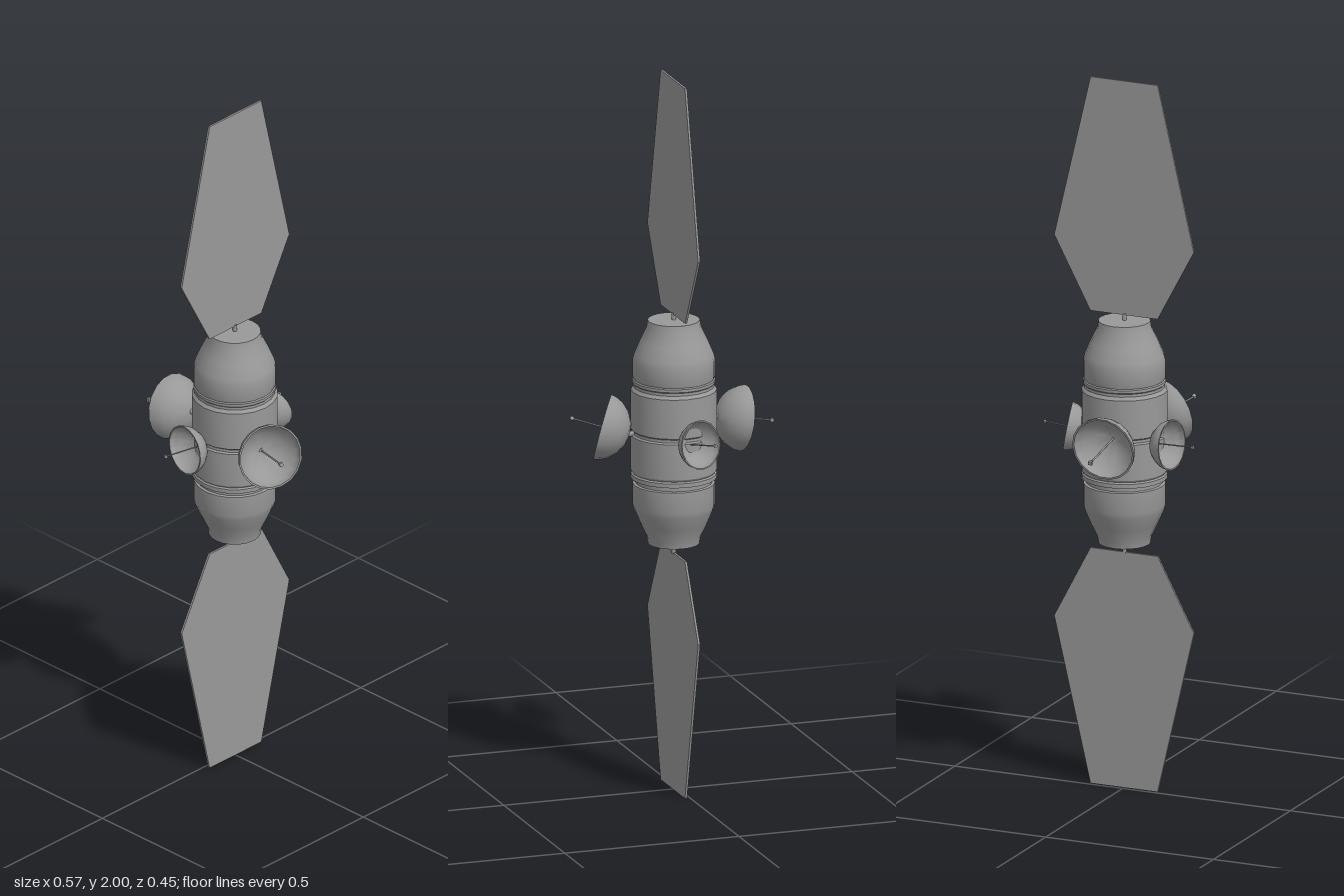
import * as THREE from 'three';
import { toCreasedNormals } from 'three/addons/utils/BufferGeometryUtils.js';

const AXIS_X = 0.012; // the hull and panels share this centre line
const UP = new THREE.Vector3(0, 1, 0);
const grey = new THREE.MeshStandardMaterial({ color: 0x999999 });
grey.name = 'hull grey';

function addMesh(parent, name, geometry) {
  const mesh = new THREE.Mesh(geometry, grey);
  mesh.name = name;
  parent.add(mesh);
  return mesh;
}

function lathe(points, sides) {
  const profile = points.map(([r, y]) => new THREE.Vector2(r, y));
  return toCreasedNormals(new THREE.LatheGeometry(profile, sides), 0.45);
}

// Straight rod between two points
function addRod(parent, name, a, b, radius) {
  const rod = addMesh(parent, name, new THREE.CylinderGeometry(radius, radius, a.distanceTo(b), 8));
  rod.position.lerpVectors(a, b, 0.5);
  rod.quaternion.setFromUnitVectors(UP, b.clone().sub(a).normalize());
}

// Dish of rim radius 0.091 at scale 1, opening along its own +y
function addDish(parent, name, apex, direction, scale) {
  const dish = new THREE.Group();
  dish.name = name;
  const dir = new THREE.Vector3(...direction).normalize();
  dish.position.set(...apex);
  dish.quaternion.setFromUnitVectors(UP, dir);
  dish.scale.setScalar(scale);
  addMesh(dish, 'bowl', lathe([
    [0, 0], [0.03, 0.004], [0.058, 0.019], [0.077, 0.039], [0.087, 0.058], [0.091, 0.076],
    [0.086, 0.076], [0.083, 0.059], [0.073, 0.042], [0.055, 0.023], [0.029, 0.008], [0, 0.004],
  ], 18));
  addRod(dish, 'feedRod', new THREE.Vector3(0, 0.003, 0), new THREE.Vector3(0, 0.162, 0), 0.0025);
  addMesh(dish, 'feedTip', new THREE.BoxGeometry(0.01, 0.01, 0.01)).position.y = 0.162;
  parent.add(dish);

  // Mounting arm from the hull to the back of the bowl
  const tip = new THREE.Vector3(...apex).addScaledVector(dir, 0.004);
  const root = new THREE.Vector3(AXIS_X, 1.01, 0).lerp(tip, 0.72);
  addRod(parent, name + 'Arm', root, tip, 0.008 * scale);
}

// Six-sided panel standing in the yz plane
function addPanel(parent, name, yInner, yWide, yOuter) {
  const shape = new THREE.Shape([
    [-0.1, yInner], [0.1, yInner], [0.208, yWide], [0.1, yOuter], [-0.1, yOuter], [-0.208, yWide],
  ].map(([z, y]) => new THREE.Vector2(z, y)));
  const geometry = new THREE.ExtrudeGeometry(shape, { depth: 0.006, bevelEnabled: false });
  geometry.translate(0, 0, -0.003).rotateY(Math.PI / 2);
  addMesh(parent, name, geometry).position.x = AXIS_X;
}

export function createModel() {
  const model = new THREE.Group();
  model.name = 'satellite';

  // Hull with necks, grooves and a wider middle band
  addMesh(model, 'hull', lathe([
    [0, 0.695], [0.071, 0.695], [0.074, 0.715], [0.092, 0.752], [0.108, 0.79], [0.112, 0.805],
    [0.112, 0.865], [0.105, 0.867], [0.105, 0.877], [0.117, 0.88], [0.117, 0.892], [0.113, 0.896],
    [0.117, 0.902], [0.117, 1.002], [0.112, 1.006], [0.112, 1.014], [0.117, 1.018], [0.117, 1.128],
    [0.11, 1.137], [0.11, 1.145], [0.113, 1.148], [0.113, 1.156], [0.11, 1.159],
    [0.112, 1.165], [0.112, 1.213], [0.108, 1.228], [0.092, 1.266], [0.074, 1.303],
    [0.071, 1.323], [0, 1.323],
  ], 20)).position.x = AXIS_X;

  // Solar panels and their short masts
  addPanel(model, 'upperPanel', 1.338, 1.54, 2.0);
  addPanel(model, 'lowerPanel', 0.667, 0.462, 0);
  for (const [name, a, b] of [['upperMast', 1.315, 1.342], ['lowerMast', 0.663, 0.7]]) {
    addRod(model, name, new THREE.Vector3(AXIS_X, a, 0), new THREE.Vector3(AXIS_X, b, 0), 0.006);
  }

  // Antenna dishes around the waist
  addDish(model, 'rightDish', [-0.121, 1.03, 0.03], [-0.985, -0.165, 0.02], 1);
  addDish(model, 'leftDish', [0.132, 1.005, 0.02], [0.88, 0.25, 0.42], 1);
  addDish(model, 'frontDish', [-0.016, 0.995, 0.1], [-0.13, 0.06, 0.985], 0.77);
  addDish(model, 'backDish', [0.008, 0.999, -0.106], [-0.33, 0.18, -0.93], 0.74);

  return model;
}
